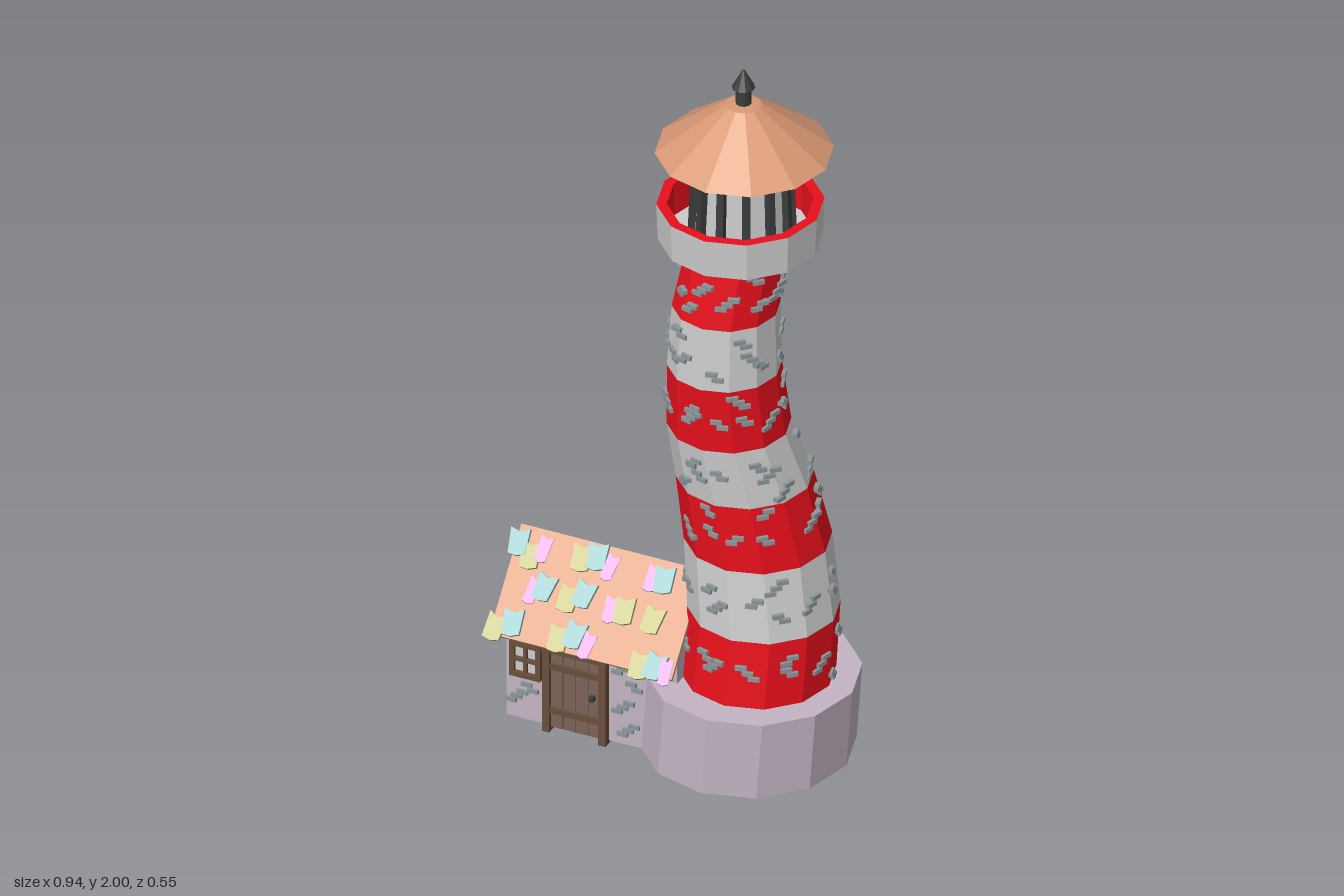
import * as THREE from 'three';
import { mergeGeometries } from 'three/addons/utils/BufferGeometryUtils.js';

const mat = (color, side = THREE.FrontSide) =>
  new THREE.MeshStandardMaterial({ color, flatShading: true, side });
const GREY = mat(0xcccccc), GREY2 = mat(0xcccccc, THREE.DoubleSide);
const RED = mat(0xe8101c, THREE.DoubleSide), STONE = mat(0xc3b4c3, THREE.DoubleSide);
const WALL = mat(0xc3b4c3), ROOF = mat(0xd99873, THREE.DoubleSide), DARK = mat(0x3a3d3d);
const WOOD = mat(0x6a4f3c), PLANK = mat(0x7d6258);
const BRICK = mat(0x8b979a);
const TILES = { t: mat(0x93c4c4), p: mat(0xdf9dec), o: mat(0xc2c07a) };
const SIDES = 12;

let seed = 7;
const rnd = () => (seed = (seed * 16807) % 2147483647) / 2147483647;

function add(parent, name, geometry, material) {
  const m = new THREE.Mesh(geometry, material);
  m.name = name;
  parent.add(m);
  return m;
}

function box(parent, name, material, w, h, d, x, y, z) {
  const m = add(parent, name, new THREE.BoxGeometry(w, h, d), material);
  m.position.set(x, y, z);
  return m;
}

// open faceted tube between rings given as [y, centreX, centreZ, radius]
function tube(rings) {
  const g = new THREE.CylinderGeometry(1, 1, 1, SIDES, rings.length - 1, true);
  const p = g.attributes.position, n = rings.length - 1;
  for (let i = 0; i < p.count; i++) {
    const [y, cx, cz, r] = rings[Math.round((p.getY(i) + 0.5) * n)];
    p.setXYZ(i, cx + p.getX(i) * r, y, cz + p.getZ(i) * r);
  }
  g.computeVertexNormals();
  return g;
}

// ring levels where the tower changes colour
const LEVELS = [
  [0.225, 0.2, -0.005, 0.198], [0.415, 0.21, -0.02, 0.193], [0.605, 0.187, -0.034, 0.187],
  [0.795, 0.16, -0.013, 0.174], [0.96, 0.131, 0.018, 0.157], [1.145, 0.129, 0.04, 0.145],
  [1.32, 0.132, 0.037, 0.137], [1.49, 0.153, 0.02, 0.127],
];

// staggered trio of small bricks in the xy plane
function brickCluster() {
  const n = 2 + Math.floor(rnd() * 2), s = rnd() < 0.5 ? -1 : 1;
  return mergeGeometries([[0, 0], [0.017 * s, 0.015], [-0.016 * s, -0.014]].slice(0, n).map(([x, y]) =>
    new THREE.BoxGeometry(0.03, 0.012, 0.016).translate(x, y, 0)));
}

function tower(root) {
  const g = new THREE.Group();
  g.name = 'tower';
  const bricks = [];
  for (let i = 0; i < LEVELS.length - 1; i++) {
    const a = LEVELS[i], b = LEVELS[i + 1];
    add(g, i % 2 ? 'greyBand' : 'redBand', tube([a, b]), i % 2 ? GREY2 : RED);
    // bricks on the front and side facets
    for (let f = -1; f < 6; f++) {
      for (let k = 0; k < (f % 2 ? 2 : 1); k++) {
        const t = 0.12 + 0.76 * (k ? 1 - rnd() * 0.4 : rnd() * 0.6);
        const [y, cx, cz, r] = a.map((v, j) => v + (b[j] - v) * t);
        const ang = (f + 0.5) * Math.PI / 6, d = r * Math.cos(Math.PI / 12);
        const c = brickCluster();
        c.translate((rnd() - 0.5) * 0.4 * r, 0, d).rotateY(Math.PI / 2 - ang).translate(cx, y, cz);
        bricks.push(c);
      }
    }
  }
  add(g, 'towerBricks', mergeGeometries(bricks), BRICK);

  // hollow stone base with a ledge
  add(g, 'base', tube([[0.01, 0.175, 0, 0.274], [0.23, 0.191, 0, 0.274]]), STONE);
  add(g, 'baseLedge', tube([[0.23, 0.191, 0, 0.274], [0.23, 0.2, -0.005, 0.185]]), STONE);
  root.add(g);
}

function lantern(root) {
  const g = new THREE.Group();
  g.name = 'lanternRoom';
  const X = 0.158, Z = 0.008;
  // gallery
  add(g, 'galleryWall', tube([[1.475, X, Z, 0.135], [1.51, X, Z, 0.208], [1.615, X, Z, 0.212]]), GREY2);
  add(g, 'galleryRim', tube([[1.615, X, Z, 0.212], [1.615, X, Z, 0.185]]), RED);
  add(g, 'galleryInnerWall', tube([[1.52, X, Z, 0.185], [1.615, X, Z, 0.185]]), RED);
  add(g, 'galleryFloor', tube([[1.52, X, Z, 0.185], [1.521, X, Z, 0.05]]), GREY2);
  // glass drum and bars
  add(g, 'lanternDrum', tube([[1.51, 0.16, 0.004, 0.122], [1.8, 0.163, 0, 0.112]]), GREY2);
  for (let i = 0; i < SIDES; i++) {
    const pivot = new THREE.Group();
    pivot.name = 'lanternBar';
    pivot.position.set(0.161, 1.645, 0.003);
    pivot.rotation.y = (i * 2 * Math.PI) / SIDES;
    const bar = box(pivot, 'bar', DARK, 0.02, 0.26, 0.024, 0, 0, 0.12);
    bar.rotation.x = -0.04;
    g.add(pivot);
  }
  // conical roof and finial
  add(g, 'lanternRoof', tube([[1.765, 0.165, 0, 0.226], [1.9, 0.163, 0, 0.046], [1.905, 0.163, 0, 0.001]]), ROOF);
  add(g, 'lanternRoofUnderside', tube([[1.764, 0.165, 0, 0.224], [1.775, 0.165, 0, 0.1]]), ROOF);
  add(g, 'finialPost', new THREE.CylinderGeometry(0.02, 0.02, 0.06, 10), DARK).position.set(0.163, 1.93, 0);
  add(g, 'finialTip', new THREE.CylinderGeometry(0.003, 0.03, 0.05, 10), DARK).position.set(0.163, 1.975, 0);
  root.add(g);
}

// extrude a (z, y) outline along x
function alongX(points, x0, x1) {
  const s = new THREE.Shape(points.map(p => new THREE.Vector2(...p)));
  return new THREE.ExtrudeGeometry(s, { depth: x1 - x0, bevelEnabled: false })
    .rotateY(-Math.PI / 2).translate(x1, 0, 0);
}

function house(root) {
  const g = new THREE.Group();
  g.name = 'house';
  add(g, 'houseWalls', alongX(
    [[-0.19, 0.01], [0.15, 0.01], [0.15, 0.3], [0.005, 0.472], [-0.19, 0.268]], -0.425, 0.05), WALL);
  add(g, 'houseRoof', alongX(
    [[-0.198, 0.262], [0.005, 0.475], [0.188, 0.26], [0.194, 0.267], [0.007, 0.487], [-0.203, 0.268]],
    -0.452, 0.055), ROOF);

  // scattered shingles: kind, x, z on the front slope
  const tiles = [
    ['t', -0.44, 0.038], ['o', -0.4, 0.055], ['p', -0.372, 0.04], ['o', -0.265, 0.038], ['t', -0.225, 0.03],
    ['p', -0.187, 0.042], ['p', -0.07, 0.042], ['t', -0.035, 0.04],
    ['t', -0.34, 0.1], ['p', -0.37, 0.11], ['o', -0.27, 0.108], ['t', -0.232, 0.095], ['p', -0.155, 0.108],
    ['o', -0.115, 0.105], ['o', -0.035, 0.108],
    ['o', -0.438, 0.182], ['t', -0.395, 0.168], ['o', -0.265, 0.175], ['t', -0.226, 0.163], ['p', -0.188, 0.175],
    ['o', -0.035, 0.185], ['t', 0.004, 0.18], ['p', 0.035, 0.185],
  ];
  for (const [kind, x, z] of tiles) {
    const w = kind === 'p' ? 0.014 : 0.023;
    const outline = [[-w, -0.032], [0, -0.036], [w, -0.03], [w * 1.15, 0.035], [0, 0.026], [-w * 1.15, 0.036]];
    const shape = new THREE.Shape(outline.map(p => new THREE.Vector2(...p)));
    const tile = add(g, 'shingle',
      new THREE.ExtrudeGeometry(shape, { depth: 0.01, bevelEnabled: false }), TILES[kind]);
    tile.position.set(x, 0.487 - (z - 0.005) * 1.18 + 0.006, z + 0.004);
    tile.rotation.set(-0.76, kind === 'p' ? 0.3 : 0, (rnd() - 0.5) * 0.3);
  }

  // door
  const door = new THREE.Group();
  door.name = 'door';
  for (let i = 0; i < 4; i++)
    box(door, 'doorPlank', PLANK, 0.034, 0.225, 0.012, -0.282 + i * 0.036, 0.125, 0.152);
  for (const y of [0.065, 0.195]) box(door, 'doorBrace', WOOD, 0.14, 0.018, 0.012, -0.228, y, 0.16);
  for (const x of [-0.307, -0.15]) box(door, 'doorPost', WOOD, 0.02, 0.255, 0.03, x, 0.128, 0.155);
  box(door, 'doorLintel', WOOD, 0.18, 0.022, 0.034, -0.228, 0.25, 0.156);
  box(door, 'doorHandle', DARK, 0.012, 0.014, 0.02, -0.18, 0.13, 0.162);
  g.add(door);

  // window
  const win = new THREE.Group();
  win.name = 'window';
  box(win, 'windowPane', GREY, 0.07, 0.09, 0.006, -0.368, 0.19, 0.15);
  for (const x of [-0.405, -0.368, -0.332])
    box(win, 'windowUpright', WOOD, x === -0.368 ? 0.009 : 0.014, 0.1, 0.018, x, 0.19, 0.154);
  for (const y of [0.145, 0.19, 0.235])
    box(win, 'windowRail', WOOD, 0.085, y === 0.19 ? 0.009 : 0.014, 0.018, -0.368, y, 0.155);
  g.add(win);

  // bricks on the front wall
  const spots = [[-0.395, 0.075], [-0.35, 0.1], [-0.1, 0.235], [-0.1, 0.12], [-0.085, 0.055], [-0.03, 0.245], [-0.06, 0.18]];
  add(g, 'wallBricks', mergeGeometries(spots.map(([x, y]) => brickCluster().translate(x, y, 0.149))), BRICK);
  root.add(g);
}

export function createModel() {
  const root = new THREE.Group();
  root.name = 'lighthouse';
  tower(root);
  lantern(root);
  house(root);
  return root;
}
